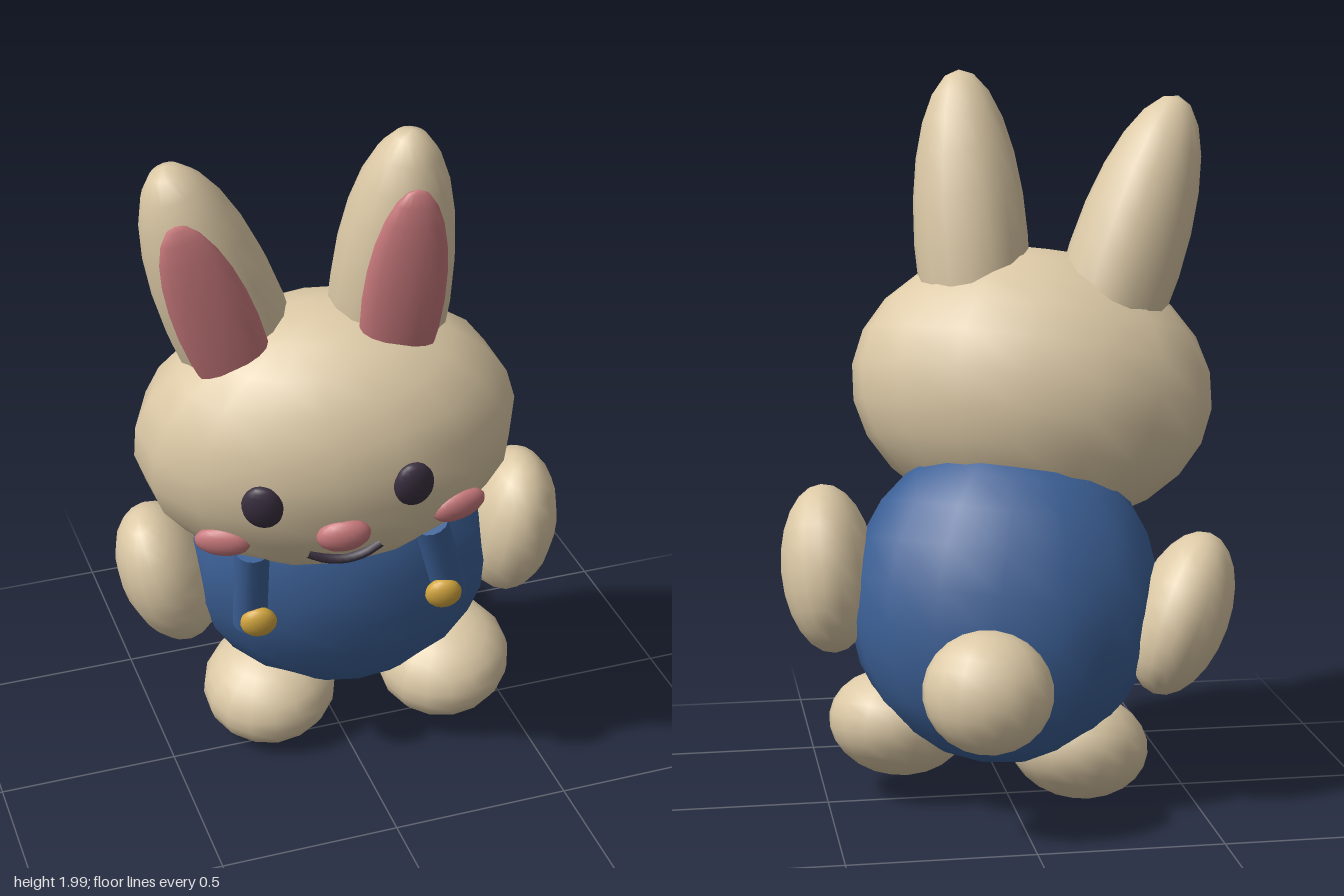
import * as THREE from 'three';

function mat(name, color) {
  const m = new THREE.MeshStandardMaterial({ color });
  m.name = name;
  return m;
}

export function createModel() {
  const cream = mat('cream fur', 0xdcc9a6);
  const blue = mat('blue cloth', 0x3c6096);
  const pink = mat('pink', 0xc8797c);
  const dark = mat('dark plum', 0x3b3040);
  const gold = mat('gold', 0xd4a740);

  const model = new THREE.Group();
  model.name = 'toyRabbit';

  // Everything is built upright and symmetric, then the whole toy is tipped
  const rabbit = new THREE.Group();
  rabbit.name = 'rabbit';
  rabbit.position.set(0.015, 0.575, -0.04);
  rabbit.rotation.set(0.26, -0.187, 0.119, 'YXZ');
  model.add(rabbit);

  const ball = new THREE.SphereGeometry(1, 16, 12);

  function blob(name, material, pos, radii, rot = [0, 0, 0]) {
    const m = new THREE.Mesh(ball, material);
    m.name = name;
    m.position.set(...pos);
    m.scale.set(...radii);
    m.rotation.set(...rot);
    rabbit.add(m);
    return m;
  }

  // A mirrored pair; pos and rot describe the left (+x) one
  function pair(name, material, [x, y, z], radii, [rx, ry, rz] = [0, 0, 0]) {
    blob('left' + name, material, [x, y, z], radii, [rx, ry, rz]);
    blob('right' + name, material, [-x, y, z], radii, [rx, -ry, -rz]);
  }

  // Body, head and tail
  blob('body', blue, [0, 0, 0], [0.425, 0.45, 0.295]);
  blob('head', cream, [0, 0.594, 0.078], [0.505, 0.388, 0.342]);
  blob('tail', cream, [0, -0.252, -0.325], [0.172, 0.162, 0.138]);

  // Limbs
  pair('Arm', cream, [0.487, 0.02, -0.012], [0.13, 0.232, 0.178], [0, 0, -0.22]);
  pair('Foot', cream, [0.253, -0.375, 0.122], [0.192, 0.148, 0.194]);

  // Ears with pink linings
  pair('Ear', cream, [0.213, 0.964, -0.015], [0.158, 0.475, 0.155], [-0.085, 0, -0.196]);
  pair('EarLining', pink, [0.232, 1.035, 0.115], [0.105, 0.33, 0.045], [-0.085, 0, -0.196]);

  // Face
  pair('Eye', dark, [0.193, 0.65, 0.382], [0.054, 0.071, 0.03], [0, 0.2, 0]);
  pair('Cheek', pink, [0.309, 0.488, 0.33], [0.075, 0.046, 0.03], [0, 0.3, 0]);
  blob('nose', pink, [0, 0.54, 0.418], [0.071, 0.05, 0.035]);

  const smile = new THREE.CatmullRomCurve3([
    [-0.095, 0.447, 0.378], [-0.05, 0.424, 0.385], [0, 0.416, 0.388],
    [0.05, 0.424, 0.385], [0.095, 0.447, 0.378],
  ].map((p) => new THREE.Vector3(...p)));
  const mouth = new THREE.Mesh(new THREE.TubeGeometry(smile, 10, 0.014, 6), dark);
  mouth.name = 'mouth';
  rabbit.add(mouth);

  // Overall straps with buttons
  const strapShape = new THREE.CylinderGeometry(0.047, 0.047, 0.29, 14);
  for (const side of [1, -1]) {
    const strap = new THREE.Mesh(strapShape, blue);
    strap.name = side > 0 ? 'leftStrap' : 'rightStrap';
    strap.position.set(side * 0.257, 0.227, 0.27);
    strap.rotation.z = side * 0.13;
    rabbit.add(strap);
  }
  pair('Button', gold, [0.252, 0.132, 0.318], [0.05, 0.05, 0.03]);

  return model;
}
